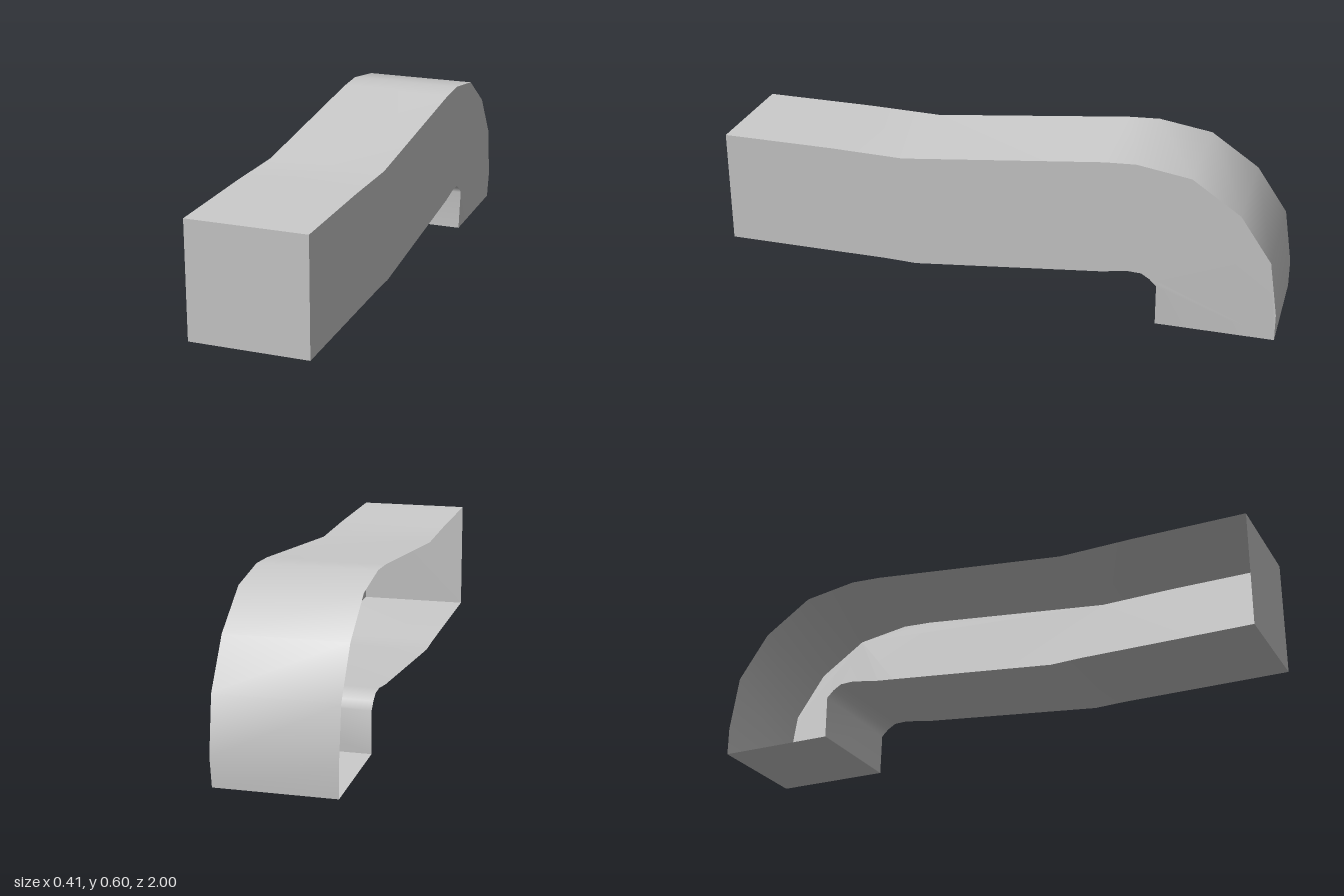
import * as THREE from 'three';

// Duct outline as [z, y], from the front top edge over the bend and back underneath
const OUTLINE = [
  [1, 0.53], [0.6, 0.527], [0.33, 0.52], [-0.39, 0.595], [-0.5, 0.6], [-0.69, 0.57],
  [-0.86, 0.455], [-0.97, 0.295], [-1, 0.1], [-1, 0],
  [-0.585, 0], [-0.585, 0.15], [-0.56, 0.175], [-0.53, 0.193], [-0.48, 0.195],
  [-0.39, 0.18], [0.29, 0.113], [0.4, 0.117], [1, 0.121],
];
const HALF = 0.206;

// The closed side leans in slightly at the base
const sideX = (y) => (y < 0.001 ? 0.2 : HALF);

// Smooth sheet spanning the duct's width along a run of outline points
function sheet(points) {
  const pos = [], index = [];
  points.forEach(([z, y], i) => {
    pos.push(-HALF, y, z, sideX(y), y, z);
    if (i > 0) {
      const a = 2 * i - 2;
      index.push(a, a + 1, a + 3, a, a + 3, a + 2);
    }
  });
  const g = new THREE.BufferGeometry();
  g.setAttribute('position', new THREE.Float32BufferAttribute(pos, 3));
  g.setIndex(index);
  g.computeVertexNormals();
  return g;
}

// Flat side wall filling the outline; the opposite side stays open
function wall() {
  const shape = new THREE.Shape(OUTLINE.map(([z, y]) => new THREE.Vector2(-z, y)));
  const g = new THREE.ShapeGeometry(shape).rotateY(Math.PI / 2);
  const p = g.attributes.position;
  for (let i = 0; i < p.count; i++) p.setX(i, sideX(p.getY(i)));
  g.computeVertexNormals();
  return g;
}

export function createModel() {
  const group = new THREE.Group();
  group.name = 'openSidedDuct';
  const grey = new THREE.MeshStandardMaterial({ color: 0xcccccc, side: THREE.DoubleSide });
  grey.name = 'light grey';

  const add = (name, geometry) => {
    const mesh = new THREE.Mesh(geometry, grey);
    mesh.name = name;
    group.add(mesh);
  };

  add('topAndBend', sheet(OUTLINE.slice(0, 10)));
  add('outletCap', sheet(OUTLINE.slice(9, 11)));
  add('underside', sheet(OUTLINE.slice(10)));
  add('frontCap', sheet([OUTLINE[OUTLINE.length - 1], OUTLINE[0]]));
  add('sideWall', wall());
  return group;
}
